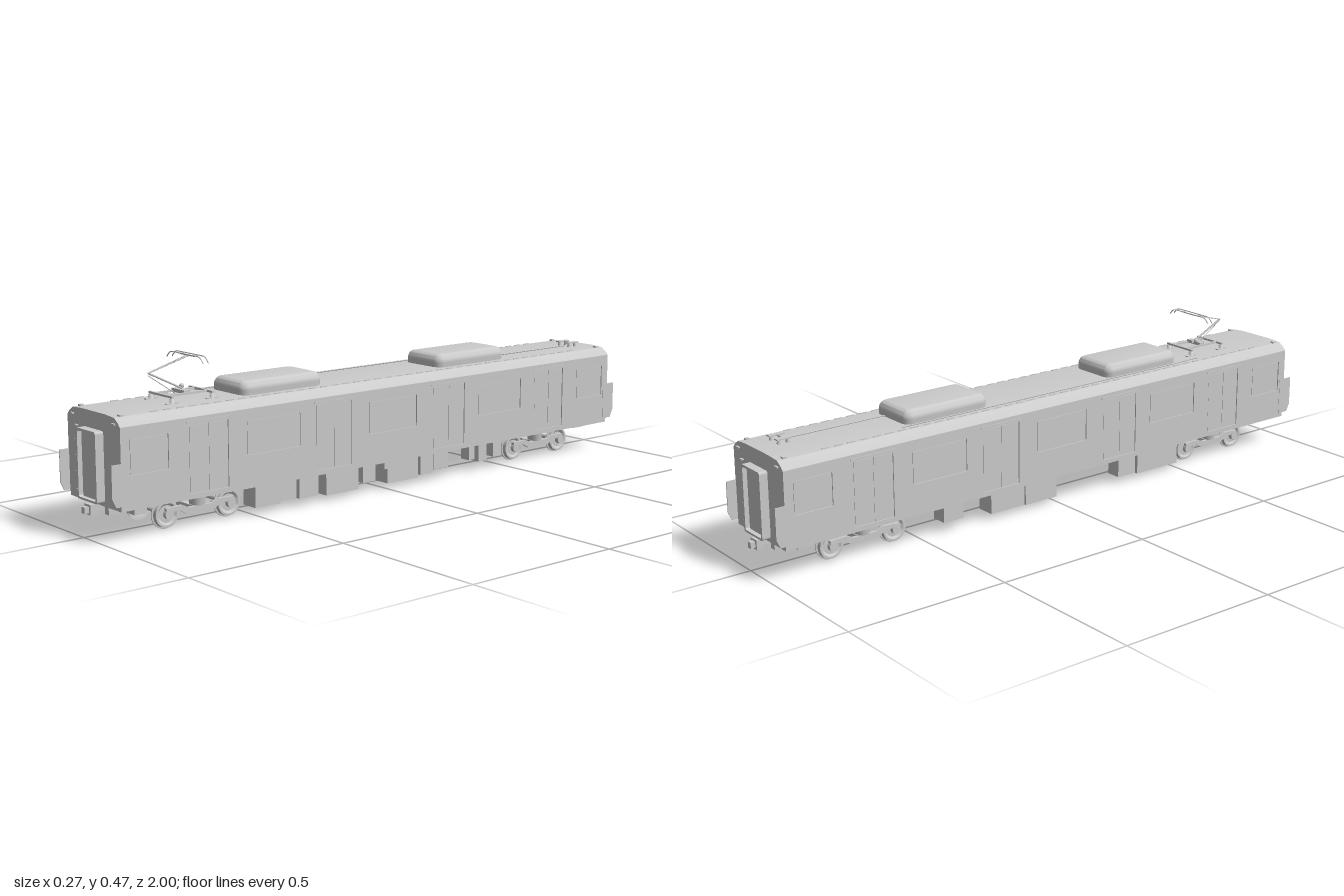
import * as THREE from 'three';
import { toCreasedNormals } from 'three/addons/utils/BufferGeometryUtils.js';

const grey = new THREE.MeshStandardMaterial({ color: 0xcccccc, side: THREE.DoubleSide });

function add(parent, name, geometry, x = 0, y = 0, z = 0) {
  const mesh = new THREE.Mesh(geometry, grey);
  mesh.name = name;
  mesh.position.set(x, y, z);
  parent.add(mesh);
  return mesh;
}

function group(parent, name) {
  const g = new THREE.Group();
  g.name = name;
  parent.add(g);
  return g;
}

// Box given by its minimum and maximum corners
function box(parent, name, x0, x1, y0, y1, z0, z1) {
  return add(parent, name, new THREE.BoxGeometry(x1 - x0, y1 - y0, z1 - z0),
    (x0 + x1) / 2, (y0 + y1) / 2, (z0 + z1) / 2);
}

// Round bar through a list of points
function bar(parent, name, points, radius) {
  const path = new THREE.CurvePath();
  const v = points.map(p => new THREE.Vector3(...p));
  for (let i = 1; i < v.length; i++) path.add(new THREE.LineCurve3(v[i - 1], v[i]));
  return add(parent, name, new THREE.TubeGeometry(path, (v.length - 1) * 6, radius, 6));
}

function roundedRect(target, x0, x1, y0, y1, r) {
  target.moveTo(x0 + r, y0).lineTo(x1 - r, y0).quadraticCurveTo(x1, y0, x1, y0 + r)
    .lineTo(x1, y1 - r).quadraticCurveTo(x1, y1, x1 - r, y1)
    .lineTo(x0 + r, y1).quadraticCurveTo(x0, y1, x0, y1 - r)
    .lineTo(x0, y0 + r).quadraticCurveTo(x0, y0, x0 + r, y0);
  return target;
}

function extrude(shape, depth, options = {}) {
  return new THREE.ExtrudeGeometry(shape, { depth, bevelEnabled: false, curveSegments: 5, ...options });
}

const DOORS = [0.675, 0.23, -0.23, -0.675];
const WINDOWS = [[0, 0.095], [0.45, 0.095], [-0.45, 0.095], [0.87, 0.062], [-0.87, 0.062]];

function buildBody(root) {
  // Shell with sloping roof edges
  const half = [[0.1305, 0.09], [0.1305, 0.316], [0.134, 0.316], [0.134, 0.32], [0.125, 0.33], [0.106, 0.343], [0.06, 0.346]];
  const profile = [...half, ...half.map(([x, y]) => [-x, y]).reverse()];
  const shell = extrude(new THREE.Shape(profile.map(p => new THREE.Vector2(...p))), 1.92).translate(0, 0, -0.96);
  add(root, 'bodyShell', toCreasedNormals(shell, 0.45));

  // Side skins pierced by doors and windows
  for (const s of [1, -1]) {
    const side = group(root, s > 0 ? 'leftSide' : 'rightSide');
    const skin = roundedRect(new THREE.Shape(), -0.96, 0.96, 0.103, 0.316, 0.001);
    for (const z of DOORS) skin.holes.push(roundedRect(new THREE.Path(), z - 0.066, z + 0.066, 0.106, 0.3, 0.004));
    for (const [z, w] of WINDOWS) skin.holes.push(roundedRect(new THREE.Path(), z - w, z + w, 0.187, 0.287, 0.006));
    add(side, 'sideSkin', extrude(skin, 0.0035).rotateY(-Math.PI / 2), s > 0 ? 0.134 : -0.1305);
    for (const z of DOORS) {
      for (const d of [-0.0325, 0.0325]) {
        add(side, 'doorLeaf', new THREE.BoxGeometry(0.002, 0.19, 0.062), s * 0.131, 0.203, z + d);
      }
      add(side, 'doorGutter', new THREE.BoxGeometry(0.003, 0.004, 0.15), s * 0.135, 0.307, z);
    }
    for (const [z, w] of WINDOWS) {
      add(side, 'windowPane', new THREE.BoxGeometry(0.002, 0.094, 2 * w - 0.006), s * 0.1315, 0.237, z);
    }
    // Roof edge ribs
    for (let i = 0; i < 40; i++) {
      const z = -0.82 + i * 0.042;
      box(side, 'roofRib', s * 0.101 - 0.001, s * 0.101 + 0.001, 0.342, 0.346, z, z + 0.025);
    }
  }
}

// Front end; the rear one is the same turned half round
function buildEnd(root, name) {
  const end = group(root, name);
  const ring = roundedRect(new THREE.Shape(), -0.05, 0.05, 0.1, 0.298, 0.008);
  ring.holes.push(roundedRect(new THREE.Path(), -0.043, 0.043, 0.106, 0.291, 0.006));
  add(end, 'gangwayFrame', extrude(ring, 0.027), 0, 0, 0.959);
  box(end, 'gangwayDoor', -0.044, 0.044, 0.105, 0.292, 0.959, 0.972);

  // Side guard plates, narrowed at the foot
  const plate = new THREE.Shape([[0.94, 0.105], [0.978, 0.105], [0.99, 0.13], [0.99, 0.222], [0.94, 0.222]]
    .map(p => new THREE.Vector2(...p)));
  for (const s of [-1, 1]) {
    add(end, 'guardPlate', extrude(plate, 0.003).rotateY(-Math.PI / 2), s * 0.1335 + 0.0015);
    box(end, 'endLampBracket', s * 0.105 - 0.007, s * 0.105 + 0.007, 0.324, 0.328, 0.959, 0.966);
    box(end, 'roofEye', s * 0.1 - 0.006, s * 0.1 + 0.006, 0.343, 0.348, 0.93, 0.942);
    box(end, 'couplerBracket', s * 0.032 - 0.01, s * 0.032 + 0.01, 0.062, 0.092, 0.9, 0.945);
    box(end, 'endSill', s * 0.07 - 0.025, s * 0.07 + 0.025, 0.079, 0.09, 0.88, 0.93);
  }
  for (const y of [0.115, 0.165, 0.21, 0.255, 0.296]) {
    box(end, 'climbingStep', -0.091, -0.078, y - 0.0015, y + 0.0015, 0.959, 0.967);
  }
  // Coupler
  box(end, 'couplerShank', -0.008, 0.008, 0.07, 0.086, 0.86, 0.97);
  box(end, 'couplerHead', -0.016, 0.016, 0.063, 0.092, 0.963, 0.986);
  box(end, 'couplerKnuckle', -0.008, 0.008, 0.068, 0.086, 0.985, 1.0);
  return end;
}

function buildBogie(root, z0) {
  const bogie = group(root, 'bogie');
  bogie.position.z = z0;
  const profile = [[0, -0.006], [0.025, -0.004], [0.034, -0.008], [0.044, -0.008], [0.044, -0.005],
    [0.039, -0.004], [0.038, 0.008], [0.032, 0.008], [0.025, 0.003], [0, 0.005]];
  const wheel = new THREE.LatheGeometry(profile.map(p => new THREE.Vector2(...p)), 28);
  for (const z of [-0.105, 0.105]) {
    add(bogie, 'axle', new THREE.CylinderGeometry(0.007, 0.007, 0.17, 12).rotateZ(Math.PI / 2), 0, 0.045, z);
    for (const s of [-1, 1]) {
      add(bogie, 'wheel', toCreasedNormals(wheel.clone().rotateZ(-s * Math.PI / 2), 0.6), s * 0.07, 0.045, z);
      add(bogie, 'axleBox', new THREE.CylinderGeometry(0.014, 0.014, 0.013, 14).rotateZ(Math.PI / 2), s * 0.084, 0.046, z);
    }
  }
  // Side frames dip in the middle beneath the air springs
  const frame = new THREE.Shape([[-0.115, 0.052], [-0.07, 0.052], [-0.045, 0.038], [0.045, 0.038], [0.07, 0.052], [0.115, 0.052],
    [0.115, 0.064], [0.06, 0.066], [0.04, 0.056], [-0.04, 0.056], [-0.06, 0.066], [-0.115, 0.064]].map(p => new THREE.Vector2(...p)));
  for (const s of [-1, 1]) {
    add(bogie, 'sideFrame', extrude(frame, 0.01).rotateY(-Math.PI / 2), s * 0.083 + 0.005);
    add(bogie, 'airSpring', new THREE.CylinderGeometry(0.026, 0.022, 0.026, 18), s * 0.07, 0.069, 0);
    box(bogie, 'springSeat', s * 0.078 - 0.016, s * 0.078 + 0.016, 0.08, 0.09, -0.05, 0.05);
  }
  box(bogie, 'bolster', -0.08, 0.08, 0.042, 0.058, -0.025, 0.025);
}

function buildUnderfloor(root) {
  const equipment = group(root, 'underfloorEquipment');
  // [x0, x1, bottom, z0, z1]
  const cases = [
    [0.05, 0.108, 0.022, 0.41, 0.5], [0.05, 0.1, 0.027, 0.345, 0.405], [0.055, 0.108, 0.024, 0.27, 0.34],
    [0.04, 0.108, 0.018, 0.115, 0.24], [0.06, 0.105, 0.033, 0.045, 0.095], [0.04, 0.108, 0.018, -0.125, 0.0],
    [0.05, 0.108, 0.024, -0.19, -0.135], [0.06, 0.1, 0.03, -0.26, -0.2], [0.07, 0.105, 0.04, -0.37, -0.345],
    [0.06, 0.108, 0.03, -0.42, -0.385], [0.07, 0.108, 0.037, -0.485, -0.45],
    [-0.108, -0.05, 0.018, 0.33, 0.5], [-0.108, -0.06, 0.024, 0.25, 0.32], [-0.108, -0.045, 0.018, -0.12, 0.0],
    [-0.108, -0.05, 0.02, -0.25, -0.125], [-0.105, -0.055, 0.032, -0.42, -0.35],
    [-0.05, 0.05, 0.045, 0.3, 0.38], [0.06, 0.1, 0.066, 0.86, 0.9], [-0.09, -0.05, 0.066, -0.9, -0.85],
  ];
  for (const [x0, x1, y, z0, z1] of cases) box(equipment, 'equipmentCase', x0, x1, y, 0.091, z0, z1);
  box(equipment, 'stepPlate', 0.11, 0.116, 0.066, 0.091, -0.02, 0.02);
}

function buildRoof(root) {
  const roof = group(root, 'roofEquipment');
  // Cooling units with rounded shoulders
  for (const z of [0.372, -0.38]) {
    const plan = roundedRect(new THREE.Shape(), -0.058, 0.058, -0.126, 0.126, 0.008);
    const unit = extrude(plan, 0.01, { bevelEnabled: true, bevelSize: 0.021, bevelThickness: 0.026, bevelSegments: 6 });
    add(roof, 'coolingUnit', toCreasedNormals(unit.rotateX(-Math.PI / 2), 0.6), 0, 0.349, z);
  }
  // Cables and rear switchgear
  bar(roof, 'rearCable', [[0.03, 0.349, -0.52], [0.03, 0.349, -0.86]], 0.002);
  bar(roof, 'longCable', [[-0.085, 0.348, 0.6], [-0.09, 0.348, 0.5], [-0.09, 0.348, -0.55]], 0.002);
  for (const x of [0.005, 0.047]) {
    box(roof, 'switchgear', x - 0.008, x + 0.008, 0.358, 0.362, -0.9, -0.852);
    for (const z of [-0.89, -0.862]) add(roof, 'rearInsulator', new THREE.CylinderGeometry(0.004, 0.006, 0.016, 10), x, 0.352, z);
  }
  bar(roof, 'switchLink', [[0.005, 0.36, -0.875], [0.047, 0.36, -0.875]], 0.002);
}

function buildPantograph(root) {
  const panto = group(root, 'pantograph');
  // Base frame on ribbed insulators
  for (const s of [-1, 1]) {
    box(panto, 'baseRail', s * 0.03 - 0.003, s * 0.03 + 0.003, 0.362, 0.368, 0.6, 0.745);
    for (const z of [0.605, 0.74]) {
      box(panto, 'baseArm', Math.min(0, s * 0.058), Math.max(0, s * 0.058), 0.362, 0.368, z - 0.004, z + 0.004);
      for (let i = 0; i < 3; i++) {
        add(panto, 'insulator', new THREE.CylinderGeometry(0.004, 0.008, 0.006, 10), s * 0.052, 0.348 + i * 0.006, z);
      }
      box(panto, 'insulatorFoot', s * 0.052 - 0.004, s * 0.052 + 0.004, 0.345, 0.349, z - 0.02, z + 0.02);
    }
    bar(panto, 'upperArm', [[s * 0.002, 0.43, 0.78], [s * 0.006, 0.466, 0.65]], 0.0015);
  }
  box(panto, 'centreBeam', -0.03, 0.03, 0.364, 0.374, 0.665, 0.685);
  bar(panto, 'lowerArm', [[0, 0.37, 0.66], [0, 0.43, 0.782]], 0.003);
  bar(panto, 'controlRod', [[0.008, 0.366, 0.7], [0.004, 0.424, 0.785]], 0.0013);
  add(panto, 'springDrum', new THREE.SphereGeometry(0.007, 12, 8), -0.017, 0.379, 0.66);
  // Twin contact strips with drooping horns
  for (const z of [0.641, 0.659]) {
    bar(panto, 'contactStrip', [[-0.089, 0.454, z], [-0.077, 0.467, z], [-0.066, 0.471, z],
      [0.066, 0.471, z], [0.077, 0.467, z], [0.089, 0.454, z]], 0.0016);
  }
  for (const x of [-0.035, 0.035]) bar(panto, 'stripLink', [[x, 0.469, 0.641], [x, 0.469, 0.659]], 0.0016);
  bar(panto, 'headBar', [[-0.035, 0.467, 0.65], [0.035, 0.467, 0.65]], 0.0016);
}

export function createModel() {
  const car = new THREE.Group();
  car.name = 'railCar';
  buildBody(car);
  buildEnd(car, 'frontEnd');
  buildEnd(car, 'rearEnd').rotation.y = Math.PI;
  buildBogie(car, 0.675);
  buildBogie(car, -0.68);
  buildUnderfloor(car);
  buildRoof(car);
  buildPantograph(car);
  return car;
}
